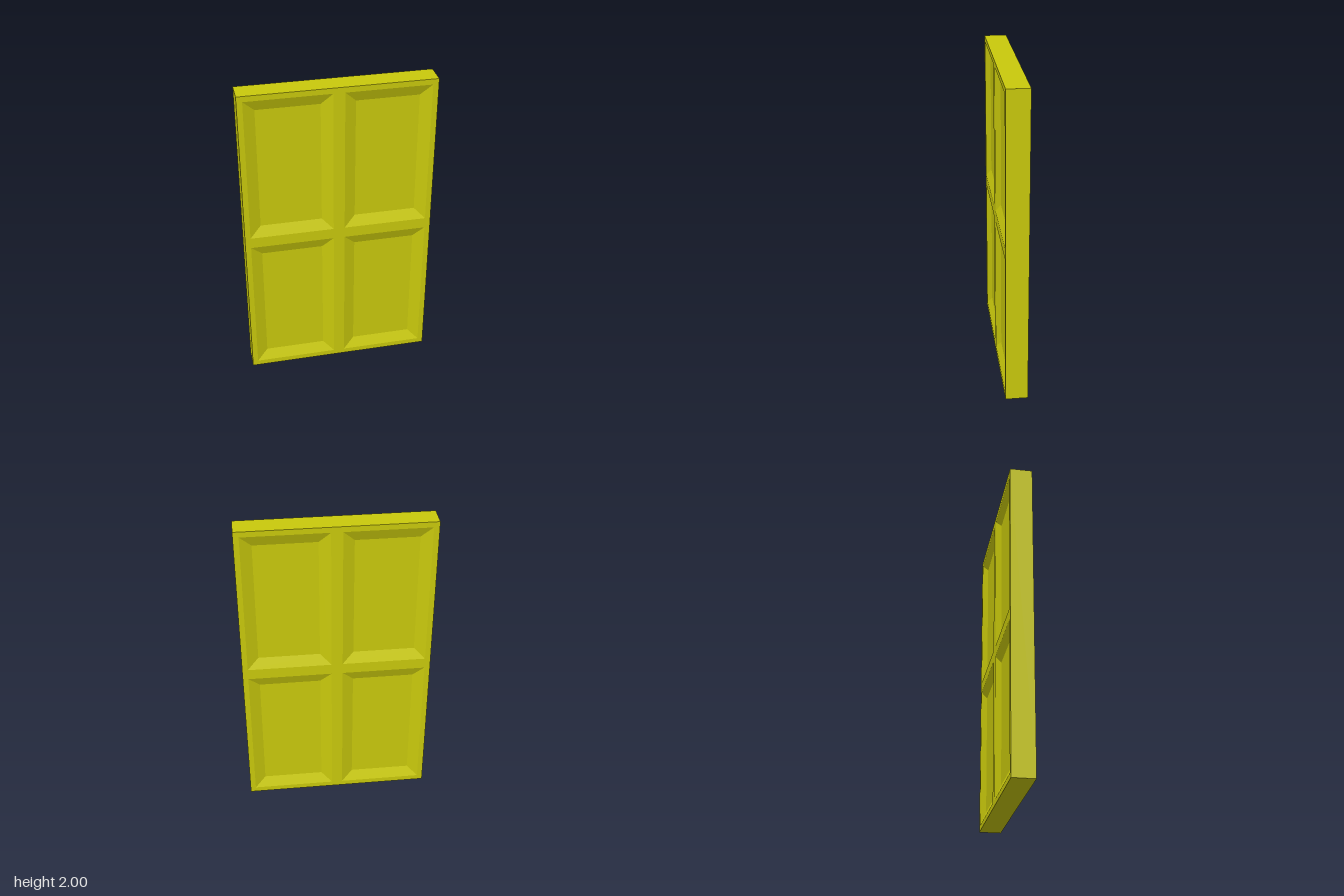
import * as THREE from 'three';

const W = 1.19, H = 2, D = 0.14;              // overall slab
const RAIL = 0.035, BEVEL = 0.07, DEPTH = 0.028; // frame rail, slope width, recess depth

// Corners of a rectangle, counter-clockwise seen from +z
const rect = (cx, cy, w, h, z) =>
  [[-1, -1], [1, -1], [1, 1], [-1, 1]].map(([sx, sy]) => new THREE.Vector3(cx + sx * w / 2, cy + sy * h / 2, z));

// Four flat quads joining an outer rectangle to an inner one
function band(outer, inner) {
  const pts = [];
  for (let i = 0; i < 4; i++) {
    const j = (i + 1) % 4;
    pts.push(outer[i], outer[j], inner[j], outer[i], inner[j], inner[i]);
  }
  const g = new THREE.BufferGeometry().setFromPoints(pts);
  g.computeVertexNormals();
  return g;
}

export function createModel() {
  const model = new THREE.Group();
  model.name = 'panelledDoor';
  const material = new THREE.MeshStandardMaterial({ color: 0xc9c90c, flatShading: true });
  const add = (parent, name, geometry) => {
    const mesh = new THREE.Mesh(geometry, material);
    mesh.name = name;
    parent.add(mesh);
    return mesh;
  };

  // Outer edges of the slab
  add(model, 'slabEdges', band(rect(0, H / 2, W, H, -D / 2), rect(0, H / 2, W, H, D / 2)));

  // Each face: a flat frame with four sloped, recessed panels
  const pw = W / 2 - 2 * RAIL, ph = H / 2 - 2 * RAIL;
  for (const side of ['front', 'back']) {
    const face = new THREE.Group();
    face.name = side + 'Face';
    if (side === 'back') face.rotation.y = Math.PI;
    model.add(face);

    const frame = new THREE.Shape(rect(0, H / 2, W, H, 0).map(p => new THREE.Vector2(p.x, p.y)));
    for (const cx of [-W / 4, W / 4]) {
      for (const cy of [H / 4, 3 * H / 4]) {
        const outer = rect(cx, cy, pw, ph, D / 2);
        const iw = pw - 2 * BEVEL, ih = ph - 2 * BEVEL;
        frame.holes.push(new THREE.Path(outer.map(p => new THREE.Vector2(p.x, p.y)).reverse()));
        add(face, 'panelBevel', band(outer, rect(cx, cy, iw, ih, D / 2 - DEPTH)));
        add(face, 'panelFloor', new THREE.PlaneGeometry(iw, ih)).position.set(cx, cy, D / 2 - DEPTH);
      }
    }
    add(face, 'frame', new THREE.ShapeGeometry(frame)).position.z = D / 2;
  }
  return model;
}
